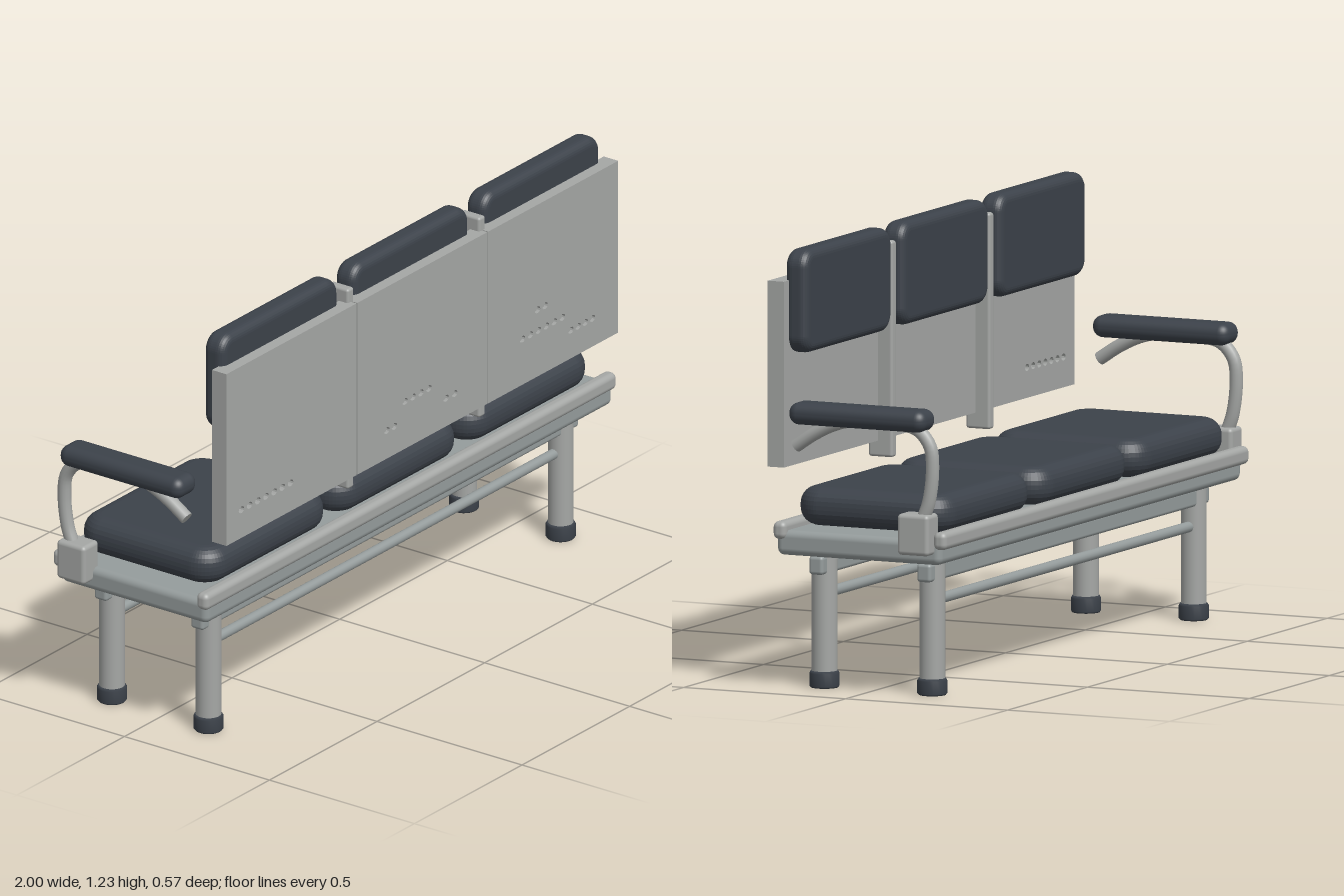
import * as THREE from 'three';
import { RoundedBoxGeometry } from 'three/addons/geometries/RoundedBoxGeometry.js';

export function createModel() {
  const root = new THREE.Group();
  root.name = 'threeSeatBench';
  const mat = (name, color) => Object.assign(new THREE.MeshStandardMaterial({ color }), { name });
  const grey = mat('lightGrey', 0xa5a7a5);
  const steel = mat('steelGrey', 0x959c9c);
  const dark = mat('darkPadding', 0x3c424a);

  const add = (name, geometry, material, x = 0, y = 0, z = 0) => {
    const mesh = new THREE.Mesh(geometry, material);
    mesh.name = name;
    mesh.position.set(x, y, z);
    root.add(mesh);
    return mesh;
  };
  // Rounded box given by its limits on each axis
  const block = (name, material, [x0, x1], [y0, y1], [z0, z1], r) => add(name,
    new RoundedBoxGeometry(x1 - x0, y1 - y0, z1 - z0, 4, r), material,
    (x0 + x1) / 2, (y0 + y1) / 2, (z0 + z1) / 2);

  // Cushion with rounded outline and softly rolled edges
  const cushion = (name, w, h, depth, corner, roll) => {
    const s = new THREE.Shape();
    const a = w / 2 - roll, b = h / 2 - roll, c = corner;
    s.moveTo(-a + c, -b);
    s.lineTo(a - c, -b).absarc(a - c, -b + c, c, -Math.PI / 2, 0);
    s.lineTo(a, b - c).absarc(a - c, b - c, c, 0, Math.PI / 2);
    s.lineTo(-a + c, b).absarc(-a + c, b - c, c, Math.PI / 2, Math.PI);
    s.lineTo(-a, -b + c).absarc(-a + c, -b + c, c, Math.PI, Math.PI * 1.5);
    const g = new THREE.ExtrudeGeometry(s, {
      depth: depth - 2 * roll, bevelThickness: roll, bevelSize: roll, bevelSegments: 6, curveSegments: 6,
    });
    g.center();
    const mesh = add(name, g, dark);
    return mesh;
  };

  // Seat frame with side rails
  block('seatFrame', steel, [-0.945, 0.945], [0.38, 0.45], [-0.265, 0.243], 0.02);
  for (const z of [0.23, -0.265]) {
    block('seatRail', grey, [-0.955, 0.955], [0.425, 0.475], [z - 0.02, z + 0.02], 0.016);
  }

  // Legs, feet and the bars between them
  for (const z of [0.155, -0.178]) {
    block('underRail', steel, [-0.875, 0.875], [0.32, 0.372], [z - 0.022, z + 0.022], 0.01);
    add('lowerBar', new THREE.CylinderGeometry(0.015, 0.015, 1.62, 16), steel, 0, 0.263, z).rotation.z = Math.PI / 2;
    for (const x of [-0.818, 0.818]) {
      add('leg', new THREE.CylinderGeometry(0.036, 0.036, 0.36, 24), grey, x, 0.22, z);
      const foot = [[0, 0], [0.038, 0], [0.042, 0.005], [0.042, 0.04], [0.038, 0.047], [0, 0.047]];
      add('foot', new THREE.LatheGeometry(foot.map(p => new THREE.Vector2(...p)), 24), dark, x, 0, z);
    }
  }

  // Perforations in each back panel: x, y, width
  const row = (x0, x1, y, n) => Array.from({ length: n }, (_, i) => [x0 + (x1 - x0) * i / (n - 1), y]);
  const holes = [
    row(-0.84, -0.612, 0.705, 7),
    [...row(-0.165, -0.13, 0.705, 2), ...row(-0.08, 0.03, 0.763, 4), ...row(0.11, 0.15, 0.705, 2)],
    [...row(0.535, 0.57, 0.822, 2), ...row(0.465, 0.65, 0.758, 6), ...row(0.69, 0.79, 0.705, 4)],
  ];
  const panelSheet = (x, spots, depth) => {
    const s = new THREE.Shape();
    const a = x - 0.302, b = x + 0.302;
    s.moveTo(a, 0.62).lineTo(b, 0.62).lineTo(b, 1.14).lineTo(a, 1.14).closePath();
    for (const [hx, hy] of spots) {
      s.holes.push(new THREE.Path().absellipse(hx, hy, 0.013, 0.01, 0, Math.PI * 2, true));
    }
    return new THREE.ExtrudeGeometry(s, { depth, bevelEnabled: false, curveSegments: 6 });
  };

  // Three places: seat cushion, back panel, back cushion
  [-0.608, 0, 0.608].forEach((x, i) => {
    const seat = cushion('seatCushion', 0.575, 0.475, 0.108, 0.03, 0.048);
    seat.rotation.x = -Math.PI / 2;
    seat.position.set(x, 0.511, -0.018);
    cushion('backCushion', 0.545, 0.29, 0.07, 0.025, 0.025).position.set(x, 1.08, 0.215);
    if (i === 0) {
      add('backPanel', panelSheet(x, holes[i], 0.05), grey, 0, 0, 0.235);
    } else {
      add('backPanel', new THREE.BoxGeometry(0.604, 0.52, 0.04), grey, x, 0.88, 0.255);
      add('backPanelSkin', panelSheet(x, holes[i], 0.01), grey, 0, 0, 0.275);
    }
  });

  // Posts between the back panels
  for (const x of [-0.305, 0.305]) {
    block('backPost', grey, [x - 0.015, x + 0.015], [0.575, 1.18], [0.192, 0.266], 0.008);
  }

  // Armrests: clamp, bent tube and pad
  const path = [[0.51, -0.215], [0.56, -0.233], [0.65, -0.244], [0.715, -0.236], [0.76, -0.195],
    [0.772, -0.12], [0.772, 0], [0.757, 0.06], [0.728, 0.12], [0.69, 0.178]];
  for (const side of [-1, 1]) {
    const x = side * 0.95;
    block('armClamp', grey, [x - 0.036, x + 0.036], [0.41, 0.525], [-0.247, -0.15], 0.012);
    const curve = new THREE.CatmullRomCurve3(path.map(([y, z]) => new THREE.Vector3(x, y, z)));
    add('armTube', new THREE.TubeGeometry(curve, 48, 0.019, 14), grey);
    const end = add('armTubeEnd', new THREE.CircleGeometry(0.019, 14), grey, x, 0.69, 0.178);
    end.lookAt(end.position.clone().add(curve.getTangent(1)));
    block('armPad', dark, [x - 0.046, x + 0.049], [0.754, 0.816], [-0.237, 0.185], 0.029);
  }
  return root;
}
